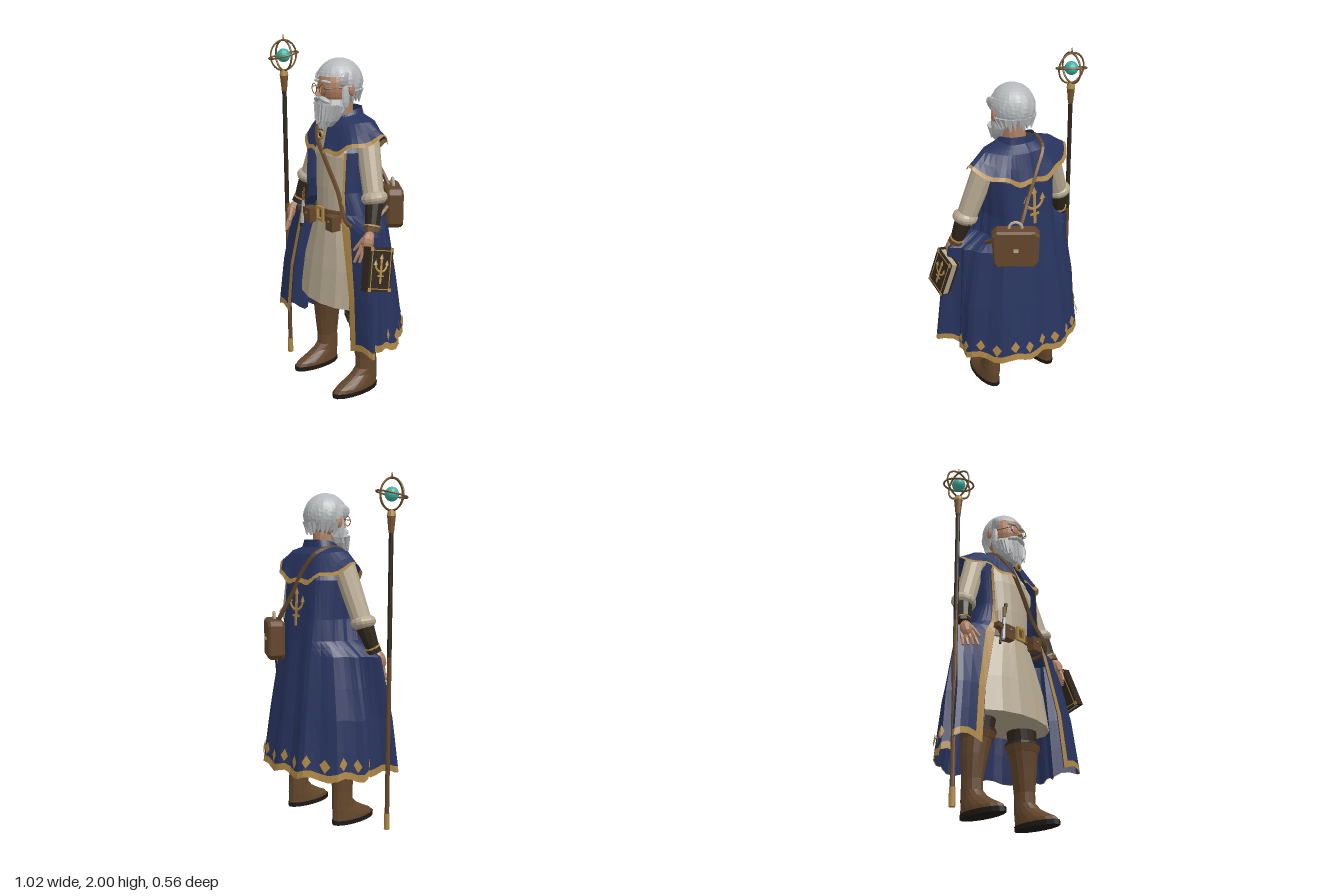
import * as THREE from 'three';

const CX = 0.02; // body centre line
const V = (x, y, z) => new THREE.Vector3(x, y, z);

const colour = (name, hex) => {
  const m = new THREE.MeshStandardMaterial({ color: hex, flatShading: true, side: THREE.DoubleSide });
  m.name = name;
  return m;
};

export function createModel() {
  const navy = colour('navy cloth', 0x28345f), gold = colour('gold trim', 0xae8746);
  const linen = colour('linen', 0xb5a890), brown = colour('brown leather', 0x63462b);
  const dark = colour('dark leather', 0x30271c), skin = colour('skin', 0xae7f62);
  const grey = colour('grey hair', 0xb6b9bb), teal = colour('teal crystal', 0x3fae9f);
  const bronze = colour('bronze', 0x74542e), black = colour('sole black', 0x1d1916);

  const root = new THREE.Group();
  root.name = 'wizard';
  const add = (name, geo, mat, pos = [0, 0, 0], rot = [0, 0, 0], scale = [1, 1, 1], parent = root) => {
    const m = new THREE.Mesh(geo, mat);
    m.name = name;
    m.position.set(...pos);
    m.rotation.set(...rot);
    m.scale.set(...scale);
    parent.add(m);
    return m;
  };
  const box = (w, h, d) => new THREE.BoxGeometry(w, h, d);
  const ball = (n = 14) => new THREE.SphereGeometry(1, n, Math.round(n * 0.7));

  // Tapered rod between two points
  const rod = (name, mat, a, b, r1, r2 = r1, n = 10) => {
    const p = V(...a), q = V(...b), d = q.clone().sub(p);
    const m = add(name, new THREE.CylinderGeometry(r2, r1, d.length(), n), mat);
    m.position.copy(p).add(q).multiplyScalar(0.5);
    m.quaternion.setFromUnitVectors(V(0, 1, 0), d.normalize());
  };

  // Closed stack of ellipses, bottom to top: [y, rx, rz, cx, cz]
  const stack = (rows, n = 20, pleat = 0) => {
    const top = rows[rows.length - 1];
    const all = [[rows[0][0], 0, 0, rows[0][3], rows[0][4]], ...rows, [top[0], 0, 0, top[3], top[4]]];
    const pos = [], idx = [];
    all.forEach(([y, rx, rz, cx, cz], i) => {
      for (let j = 0; j <= n; j++) {
        const a = (j % n) / n * Math.PI * 2, k = 1 + (j % 2 ? pleat : -pleat);
        pos.push(cx + rx * k * Math.sin(a), y, cz + rz * k * Math.cos(a));
        if (i < all.length - 1 && j < n) {
          const p = i * (n + 1) + j, q = p + n + 1;
          idx.push(p, p + 1, q + 1, p, q + 1, q);
        }
      }
    });
    const g = new THREE.BufferGeometry();
    g.setAttribute('position', new THREE.Float32BufferAttribute(pos, 3));
    g.setIndex(idx);
    g.computeVertexNormals();
    return g;
  };

  // Mirrored cloth: each row runs from centre back (s = 0) to the front edge (|s| = 1)
  const cloth = (rows, fold) => {
    const curves = rows.map(r => new THREE.CatmullRomCurve3(r.map(p => V(...p))));
    return (s, v, grow = 1) => {
      const f = v * (rows.length - 1), i = Math.min(Math.floor(f), rows.length - 2), t = Math.abs(s);
      const p = curves[i].getPoint(t).lerp(curves[i + 1].getPoint(t), f - i);
      const k = (1 + fold.size * (1 - v) * Math.sin(s * fold.rate) * (t < 0.75 ? 1 : 0)) * grow;
      p.y += fold.hem * Math.max(0, 1 - v * 4) * Math.cos(s * fold.waves);
      return V(CX + Math.sign(s) * p.x * k, p.y, 0.05 + (p.z - 0.05) * k);
    };
  };
  const clothGeometry = (at, vs, edge, grow = 1, steps = 24) => {
    const ss = [];
    for (let i = -steps; i <= steps; i++) ss.push(i / steps * (1 - edge));
    if (edge) { ss.unshift(-1); ss.push(1); }
    const pos = [], main = [], trim = [], n = ss.length;
    vs.forEach((v, i) => ss.forEach((s, j) => {
      pos.push(...at(s, v, grow).toArray());
      if (i === vs.length - 1 || j === n - 1) return;
      const p = i * n + j, q = p + n;
      const border = i === 0 || (edge && (j === 0 || j === n - 2));
      (border ? trim : main).push(p, q + 1, p + 1, p, q, q + 1);
    }));
    const g = new THREE.BufferGeometry();
    g.setAttribute('position', new THREE.Float32BufferAttribute(pos, 3));
    g.setIndex([...main, ...trim]);
    g.addGroup(0, main.length, 0);
    g.addGroup(main.length, trim.length, 1);
    g.computeVertexNormals();
    return g;
  };

  // Cloak with gold border outside and plain lining inside
  const level = (y, pts) => pts.map(([x, z]) => [x, y, z]);
  const cloak = cloth([
    [[0, 0.315, -0.23], [0.17, 0.315, -0.225], [0.33, 0.315, -0.1], [0.405, 0.315, 0.03], [0.375, 0.32, 0.11], [0.485, 0.35, 0.21], [0.315, 0.345, 0.24]],
    level(0.65, [[0, -0.19], [0.15, -0.18], [0.3, -0.085], [0.38, 0.03], [0.36, 0.1], [0.45, 0.19], [0.285, 0.23]]),
    level(1.0, [[0, -0.145], [0.13, -0.135], [0.24, -0.06], [0.32, 0.03], [0.35, 0.08], [0.41, 0.13], [0.195, 0.21]]),
    level(1.08, [[0, -0.135], [0.13, -0.125], [0.19, -0.05], [0.22, 0.02], [0.235, 0.07], [0.25, 0.12], [0.18, 0.205]]),
    level(1.2, [[0, -0.125], [0.13, -0.11], [0.18, -0.04], [0.2, 0.03], [0.21, 0.08], [0.21, 0.14], [0.175, 0.195]]),
    level(1.42, [[0, -0.11], [0.13, -0.095], [0.19, -0.03], [0.21, 0.03], [0.215, 0.08], [0.21, 0.13], [0.18, 0.185]]),
    level(1.53, [[0, -0.06], [0.1, -0.05], [0.14, -0.01], [0.15, 0.03], [0.15, 0.06], [0.14, 0.1], [0.11, 0.14]]),
  ], { size: 0.035, rate: 34, hem: 0.014, waves: 34 });
  const cloakLevels = [0, 0.02, 0.08, 0.167, 0.25, 0.333, 0.42, 0.5, 0.667, 0.833, 1];
  add('cloak', clothGeometry(cloak, cloakLevels, 0.035), [navy, gold]);
  add('cloakLining', clothGeometry(cloak, cloakLevels, 0.035, 0.985), [navy, navy]);

  // Diamonds above the hem
  for (let i = -6; i <= 6; i++) {
    const pts = [[0, 0.045], [0, 0.064], [-0.024, 0.045], [0, 0.026], [0.024, 0.045]]
      .map(([ds, v]) => cloak(i * 0.088 + ds, v, 1.035));
    const g = new THREE.BufferGeometry().setFromPoints(pts);
    g.setIndex([0, 1, 2, 0, 2, 3, 0, 3, 4, 0, 4, 1]);
    g.computeVertexNormals();
    add('hemDiamond', g, gold);
  }

  // Shoulder cape and collar
  const cape = cloth([
    [[0, 1.39, -0.13], [0.17, 1.43, -0.11], [0.315, 1.5, 0.03], [0.2, 1.43, 0.185], [0.04, 1.39, 0.23]],
    [[0, 1.56, -0.08], [0.12, 1.565, -0.06], [0.215, 1.578, 0.04], [0.13, 1.56, 0.135], [0.015, 1.53, 0.18]],
    [[0, 1.6, -0.04], [0.08, 1.6, -0.02], [0.105, 1.605, 0.05], [0.08, 1.59, 0.12], [0.012, 1.56, 0.15]],
    [[0, 1.64, -0.035], [0.07, 1.64, -0.015], [0.095, 1.63, 0.05], [0.075, 1.6, 0.115], [0.012, 1.58, 0.145]],
  ], { size: 0.012, rate: 30, hem: 0.016, waves: 26 });
  add('cape', clothGeometry(cape, [0, 0.055, 0.17, 0.333, 0.5, 0.667, 1], 0), [navy, gold]);
  add('clasp', new THREE.TorusGeometry(0.02, 0.007, 6, 12), gold, [CX, 1.495, 0.213]);
  add('claspStone', ball(8), dark, [CX, 1.495, 0.21], [0, 0, 0], [0.015, 0.015, 0.008]);

  // Forked ornament, used on the cloak back and the book cover
  const ornament = (parent, pos, rot, size) => {
    const g = new THREE.Group();
    g.name = 'forkedOrnament';
    g.position.set(...pos);
    g.rotation.set(...rot);
    g.scale.set(size, size, size * 0.4);
    parent.add(g);
    const part = (geo, p, r = [0, 0, 0]) => add('ornamentPart', geo, gold, p, r, [1, 1, 1], g);
    part(box(0.09, 1, 0.06), [0, 0, 0]);
    part(box(0.3, 0.07, 0.06), [0, -0.2, 0]);
    part(new THREE.TorusGeometry(0.28, 0.045, 4, 12, Math.PI), [0, 0.25, 0], [0, 0, Math.PI]);
    for (const x of [-0.28, 0, 0.28]) part(new THREE.ConeGeometry(0.1, 0.2, 4), [x, x ? 0.32 : 0.55, 0]);
  };
  ornament(root, [CX, 1.255, -0.135], [0.05, Math.PI, 0], 0.19);

  // Tunic and belt
  add('tunic', stack([[0.54, 0.3, 0.19, CX, 0.085], [0.75, 0.275, 0.168, CX, 0.08], [0.9, 0.225, 0.15, CX, 0.075],
    [1.02, 0.175, 0.138, CX, 0.07]], 32, 0.012), linen);
  add('tunicBody', stack([[1.0, 0.175, 0.137, CX, 0.07], [1.07, 0.165, 0.13, CX, 0.07], [1.2, 0.17, 0.13, CX, 0.07],
    [1.38, 0.185, 0.13, CX, 0.06], [1.5, 0.16, 0.1, CX, 0.05], [1.58, 0.07, 0.07, CX, 0.06]], 24), linen);
  add('belt', stack([[1.015, 0.186, 0.146, CX, 0.07], [1.08, 0.177, 0.14, CX, 0.07]], 24), brown);
  for (const [w, h, x, y] of [[0.06, 0.016, 0, 0.034], [0.06, 0.016, 0, -0.034], [0.014, 0.08, 0.026, 0], [0.014, 0.08, -0.026, 0]])
    add('buckle', box(w, h, 0.015), gold, [CX + x, 1.05 + y, 0.221]);
  for (const x of [-0.085, 0.135]) {
    add('pouch', box(0.064, 0.08, 0.055), brown, [x, 1.02, 0.215]);
    add('pouchFlap', box(0.07, 0.035, 0.062), brown, [x, 1.045, 0.214]);
    add('pouchStud', ball(6), gold, [x, 1.035, 0.247], [0, 0, 0], [0.006, 0.006, 0.005]);
  }
  // Tools on the right hip
  rod('wand', dark, [-0.16, 0.93, 0.235], [-0.1, 1.2, 0.225], 0.007, 0.01);
  rod('knife', grey, [-0.14, 0.96, 0.24], [-0.125, 1.1, 0.235], 0.011, 0.009, 6);
  rod('knifeGrip', bronze, [-0.125, 1.1, 0.235], [-0.118, 1.17, 0.23], 0.01);
  rod('scroll', linen, [-0.155, 1.03, 0.22], [-0.148, 1.14, 0.215], 0.012);
  add('toolLoop', box(0.07, 0.03, 0.036), brown, [-0.145, 1.04, 0.225], [0, 0, -0.15]);

  // Legs, boots, arms and hands
  for (const side of [-1, 1]) {
    const x = o => CX + side * o;
    add('trouserLeg', stack([[0.43, 0.08, 0.08, x(0.178), 0.06], [0.62, 0.09, 0.09, x(0.15), 0.065], [0.85, 0.09, 0.095, x(0.1), 0.07]], 14), dark);
    add('bootShaft', stack([[0.09, 0.05, 0.068, x(0.2), 0.042], [0.2, 0.051, 0.066, x(0.198), 0.044],
      [0.33, 0.07, 0.076, x(0.19), 0.05], [0.43, 0.084, 0.086, x(0.178), 0.055]], 14), brown);
    add('bootCuff', stack([[0.42, 0.088, 0.09, x(0.178), 0.055], [0.46, 0.101, 0.1, x(0.175), 0.057]], 14), brown);
    add('cuffRim', stack([[0.46, 0.103, 0.102, x(0.175), 0.057], [0.473, 0.103, 0.102, x(0.175), 0.057]], 14), dark);
    add('shoe', stack([[0.022, 0.06, 0.152, x(0.202), 0.126], [0.045, 0.06, 0.143, x(0.202), 0.118],
      [0.075, 0.056, 0.112, x(0.201), 0.087], [0.105, 0.051, 0.086, x(0.2), 0.06], [0.14, 0.05, 0.068, x(0.2), 0.044]], 16), brown);
    add('sole', stack([[0, 0.062, 0.155, x(0.202), 0.126], [0.026, 0.063, 0.156, x(0.202), 0.126]], 16), black);

    add('shoulder', ball(), linen, [x(0.19), 1.49, 0.045], [0, 0, 0], [0.068, 0.065, 0.068]);
    rod('sleeve', linen, [x(0.195), 1.5, 0.045], [x(0.31), 1.19, 0.083], 0.066, 0.056, 12);
    add('sleeveCuff', ball(), linen, [x(0.316), 1.19, 0.085], [0, 0, side * 0.25], [0.072, 0.045, 0.072]);
    rod('bracer', dark, [x(0.32), 1.18, 0.088], [x(0.355), 1.03, 0.13], 0.052, 0.036, 10);
    rod('wristBand', side > 0 ? brown : dark, [x(0.353), 1.045, 0.126], [x(0.358), 1.02, 0.134], 0.044, 0.044, 8);
    rod('wristTrim', gold, [x(0.351), 1.053, 0.123], [x(0.353), 1.045, 0.126], 0.044, 0.045, 8);
    add('palm', ball(10), skin, [x(0.37), 0.978, 0.165], [-0.4, 0, side * 0.1], [0.032, 0.055, 0.038]);
    for (let i = 0; i < 4; i++) {
      const knuckle = [x(0.396 - i * 0.015), 0.91, 0.165 + i * 0.018];
      rod('finger', skin, [x(0.385 - i * 0.01), 0.955, 0.15 + i * 0.014], knuckle, 0.0125, 0.0105, 6);
      rod('fingertip', skin, knuckle, [x(0.402 - i * 0.02), 0.865, 0.18 + i * 0.019], 0.0105, 0.007, 6);
    }
    rod('thumb', skin, [x(0.355), 0.99, 0.185], [x(0.322), 0.925, 0.225], 0.014, 0.008, 6);
  }

  // Head and face
  add('neck', new THREE.CylinderGeometry(0.06, 0.065, 0.16, 12), skin, [CX, 1.63, 0.07]);
  add('head', ball(20), skin, [CX, 1.755, 0.1], [0, 0, 0], [0.1, 0.12, 0.112]);
  add('nose', new THREE.ConeGeometry(0.018, 0.06, 6), skin, [CX, 1.735, 0.218], [-0.3, 0, 0], [1, 1, 1.3]);
  add('bridge', box(0.022, 0.005, 0.005), bronze, [CX, 1.75, 0.228]);
  for (const side of [-1, 1]) {
    const x = o => CX + side * o;
    add('ear', ball(8), skin, [x(0.113), 1.74, 0.085], [0, side * 0.4, 0], [0.015, 0.034, 0.023]);
    add('eye', ball(8), dark, [x(0.037), 1.748, 0.202], [0, 0, 0], [0.008, 0.005, 0.006]);
    add('eyebrow', ball(8), grey, [x(0.042), 1.785, 0.204], [0, side * 0.3, side * -0.1], [0.032, 0.008, 0.014]);
    add('lensRim', new THREE.TorusGeometry(0.027, 0.0025, 5, 18), bronze, [x(0.039), 1.744, 0.223], [0, side * 0.12, 0]);
    rod('spectacleArm', bronze, [x(0.066), 1.75, 0.218], [x(0.113), 1.755, 0.09], 0.0025, 0.0025, 5);
    add('moustache', ball(10), grey, [x(0.032), 1.688, 0.207], [0, side * 0.35, side * -0.35], [0.04, 0.014, 0.02]);
    add('sideburn', ball(8), grey, [x(0.1), 1.71, 0.115], [0, 0, 0], [0.013, 0.07, 0.026]);
    add('templeHair', ball(8), grey, [x(0.1), 1.795, 0.12], [0, side * 0.3, side * -0.2], [0.017, 0.042, 0.05]);
  }

  // Hair: crown, back and hanging locks
  const ruffle = (g) => {
    const p = g.attributes.position;
    for (let i = 0; i < p.count; i++) {
      const k = 1 + 0.03 * Math.sin(Math.atan2(p.getZ(i), p.getX(i)) * 11 + p.getY(i) * 5) * (1 - Math.abs(p.getY(i)));
      p.setXYZ(i, p.getX(i) * k, p.getY(i), p.getZ(i) * k);
    }
    return g;
  };
  const hairAt = [CX, 1.778, 0.085], hairSize = [0.12, 0.124, 0.13];
  add('hairCrown', ruffle(new THREE.SphereGeometry(1, 32, 8, 0, Math.PI * 2, 0, 1.3)), grey, hairAt, [0, 0, 0], hairSize);
  add('hairBack', ruffle(new THREE.SphereGeometry(1, 24, 6, Math.PI - 0.2, Math.PI + 0.4, 1.25, 1.05)), grey, hairAt, [0, 0, 0], hairSize);
  for (let i = 0; i <= 12; i++) {
    const a = Math.PI * (i / 12), c = Math.cos(a), s = Math.sin(a);
    rod('hairLock', grey, [CX + c * 0.106, 1.74, 0.08 - s * 0.106], [CX + c * 0.092, 1.665 + (i % 3) * 0.01, 0.065 - s * 0.09], 0.024, 0.004, 5);
  }

  // Beard with hanging locks
  add('beard', stack([[1.54, 0.04, 0.035, CX, 0.175], [1.575, 0.075, 0.055, CX, 0.165], [1.62, 0.098, 0.07, CX, 0.15],
    [1.655, 0.103, 0.08, CX, 0.135], [1.69, 0.094, 0.085, CX, 0.122]], 24, 0.025), grey);
  for (let i = 0; i < 11; i++) {
    const a = (i - 5) * 0.29, c = Math.cos(a), s = Math.sin(a);
    rod('beardLock', grey, [CX + s * 0.098, 1.66, 0.143 + c * 0.062], [CX + s * 0.09, 1.605 - c * 0.055 + (i % 2) * 0.014, 0.155 + c * 0.068], 0.022, 0.004, 5);
    rod('beardTip', grey, [CX + s * 0.068, 1.6, 0.165 + c * 0.04], [CX + s * 0.055, 1.575 - c * 0.05, 0.165 + c * 0.045], 0.02, 0.003, 5);
  }

  // Satchel and strap
  const bag = new THREE.Group();
  bag.name = 'satchel';
  bag.position.set(0.17, 1.075, -0.177);
  bag.rotation.y = -0.55;
  root.add(bag);
  const bagPart = (name, geo, mat, p, r) => add(name, geo, mat, p, r, [1, 1, 1], bag);
  const outline = new THREE.Shape([[-0.115, -0.08], [-0.1, -0.1], [0.1, -0.1], [0.115, -0.08], [0.12, 0.08], [0.1, 0.1], [-0.1, 0.1], [-0.12, 0.08]]
    .map(p => new THREE.Vector2(...p)));
  bagPart('bagBody', new THREE.ExtrudeGeometry(outline, { depth: 0.066, bevelSize: 0.01, bevelThickness: 0.014, bevelSegments: 1 }), brown, [0, 0, -0.033]);
  bagPart('bagLatch', box(0.028, 0.018, 0.008), linen, [0, 0, -0.049]);
  bagPart('bagHandle', new THREE.TorusGeometry(0.036, 0.008, 6, 12, Math.PI), linen, [0, 0.115, 0]);
  const strap = new THREE.CatmullRomCurve3([[0.255, 1.04, 0.2], [0.15, 1.2, 0.192], [0.04, 1.37, 0.203], [-0.03, 1.47, 0.2],
    [-0.08, 1.555, 0.15], [-0.095, 1.597, 0.06], [-0.075, 1.57, -0.065], [-0.01, 1.47, -0.11], [0.06, 1.33, -0.135],
    [0.15, 1.17, -0.165], [0.24, 1.1, -0.09], [0.26, 1.02, 0.06]].map(p => V(...p)), true);
  add('strap', new THREE.TubeGeometry(strap, 72, 0.013, 5, true), brown);

  // Book at the left hand, spine forward
  const book = new THREE.Group();
  book.name = 'book';
  book.position.set(0.455, 0.835, 0.153);
  book.rotation.set(-0.25, 0, 0.2);
  root.add(book);
  const bookPart = (name, geo, mat, p) => add(name, geo, mat, p, [0, 0, 0], [1, 1, 1], book);
  bookPart('bookPages', box(0.036, 0.218, 0.144), linen, [0, 0, -0.002]);
  bookPart('bookSpine', box(0.056, 0.235, 0.012), dark, [0, 0, 0.075]);
  for (const s of [-1, 1]) {
    bookPart('bookCover', box(0.01, 0.235, 0.158), dark, [s * 0.023, 0, 0]);
    for (const e of [-1, 1]) {
      bookPart('coverBorder', box(0.003, 0.005, 0.13), gold, [s * 0.0285, e * 0.102, 0]);
      bookPart('coverBorder', box(0.003, 0.2, 0.005), gold, [s * 0.0285, 0, e * 0.064]);
      for (const f of [-1, 1]) bookPart('bookCorner', box(0.004, 0.02, 0.02), gold, [s * 0.029, e * 0.107, f * 0.069]);
    }
  }
  ornament(book, [0.03, -0.005, 0], [0, Math.PI / 2, 0], 0.14);

  // Staff with ringed crystal
  const sx = -0.423, sz = 0.165;
  rod('staffFoot', gold, [sx, 0, sz], [sx, 0.095, sz], 0.017, 0.016);
  rod('staffShaft', brown, [sx, 0.09, sz], [sx, 1.0, sz], 0.013);
  rod('staffUpperShaft', dark, [sx, 1.0, sz], [sx, 1.7, sz], 0.013);
  rod('staffHead', bronze, [sx, 1.68, sz], [sx, 1.77, sz], 0.015, 0.024);
  rod('staffCrown', gold, [sx, 1.77, sz], [sx, 1.8, sz], 0.026, 0.02);
  add('crystal', ball(16), teal, [sx, 1.885, sz], [0, 0, 0], [0.039, 0.039, 0.039]);
  for (const r of [[0, 0, 0], [0, Math.PI / 2, 0], [Math.PI / 2 + 0.2, 0.1, 0]])
    add('staffRing', new THREE.TorusGeometry(0.086, 0.0055, 6, 32), bronze, [sx, 1.885, sz], r);
  rod('finial', bronze, [sx, 1.965, sz], [sx, 2.0, sz], 0.007, 0.002, 6);

  return root;
}
